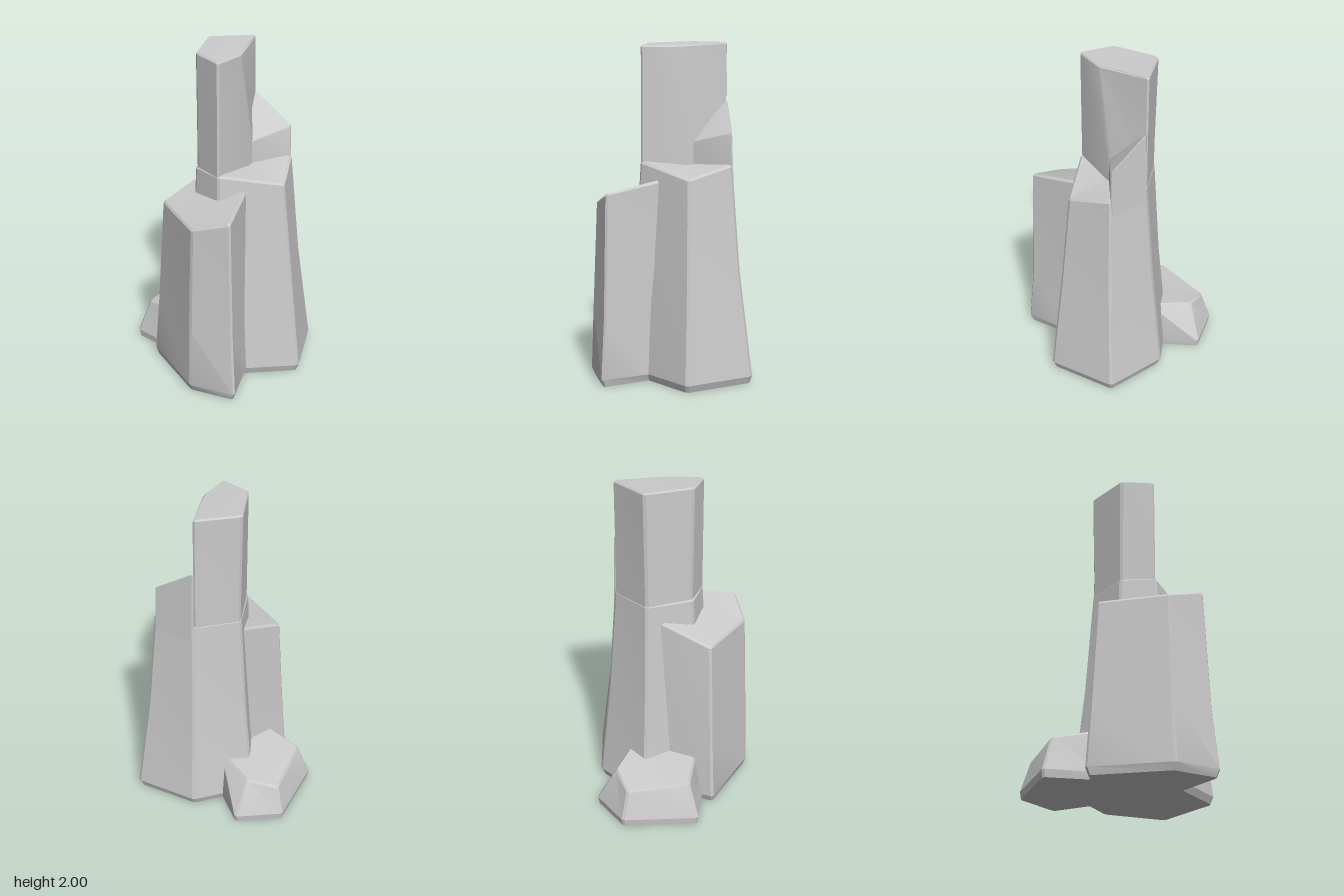
import * as THREE from 'three';
import { toCreasedNormals } from 'three/addons/utils/BufferGeometryUtils.js';

const material = new THREE.MeshStandardMaterial({ color: 0xcccccc });

// Middle of a ring of points
function centre(ring) {
  const c = new THREE.Vector3();
  ring.forEach(p => c.add(p));
  return c.divideScalar(ring.length);
}

// Move a ring sideways towards its middle, and up or down
function inset(ring, amount, dy) {
  const c = centre(ring);
  return ring.map(p => {
    const d = new THREE.Vector3(c.x - p.x, 0, c.z - p.z).normalize().multiplyScalar(amount);
    return p.clone().add(d).setY(p.y + dy);
  });
}

// Cut each corner of a ring so the upright edges get a narrow bevel
function chamfer(ring, size) {
  const n = ring.length;
  return ring.flatMap((p, i) => [ring[(i + n - 1) % n], ring[(i + 1) % n]].map(q =>
    p.clone().lerp(q, size / p.distanceTo(q))));
}

// Closed stone column through rings of [x, y, z] corners, listed back, right, front, left
function column(name, sections, { bevel = 0.014, foot = 0.02 } = {}) {
  let rings = sections.map(s => s.map(p => new THREE.Vector3(...p)));
  const top = rings.pop();
  rings.push(inset(top, -bevel, -bevel), top);
  if (foot) {
    const base = rings[0];
    rings = [inset(base, foot, 0), inset(base, 0, 0.045), ...rings.slice(1)];
  }
  rings = rings.map(r => chamfer(r, 0.012));

  const pos = [];
  const tri = (...pts) => pts.forEach(p => pos.push(p.x, p.y, p.z));
  const n = rings[0].length;
  const low = rings[0], high = rings[rings.length - 1];
  const cLow = centre(low), cHigh = centre(high);
  for (let j = 0; j < n; j++) {
    const k = (j + 1) % n;
    for (let i = 0; i < rings.length - 1; i++) {
      const a = rings[i], b = rings[i + 1];
      tri(a[j], b[j], b[k]);
      tri(a[j], b[k], a[k]);
    }
    tri(cLow, low[j], low[k]);
    tri(cHigh, high[k], high[j]);
  }
  const geo = new THREE.BufferGeometry();
  geo.setAttribute('position', new THREE.Float32BufferAttribute(pos, 3));
  const mesh = new THREE.Mesh(toCreasedNormals(geo, 0.35), material);
  mesh.name = name;
  return mesh;
}

// Level ring from [x, z] corners
const level = (y, pts) => pts.map(([x, z]) => [x, y, z]);

export function createModel() {
  const group = new THREE.Group();
  group.name = 'rockColumns';

  // Wide six-sided lower half of the main pillar, with a sloping front ledge
  group.add(column('mainColumnBase', [
    level(0, [[-0.10, -0.30], [0.285, -0.225], [0.51, 0.105], [0.26, 0.46], [-0.23, 0.31], [-0.31, 0.02]]),
    level(0.67, [[-0.075, -0.24], [0.245, -0.17], [0.42, 0.1], [0.23, 0.385], [-0.2, 0.27], [-0.265, 0.025]]),
    [[-0.05, 1.3, -0.19], [0.21, 1.3, -0.12], [0.35, 1.3, 0.09], [0.195, 1.23, 0.315], [-0.165, 1.305, 0.225], [-0.22, 1.3, 0.03]],
  ]));

  // Tall upper shaft
  group.add(column('mainColumnShaft', [
    level(1.15, [[-0.055, -0.20], [0.22, -0.128], [0.11, 0.085], [-0.175, 0.232], [-0.225, 0.03]]),
    level(1.43, [[-0.052, -0.20], [0.22, -0.128], [0.105, 0.085], [-0.175, 0.232], [-0.225, 0.03]]),
    [[-0.05, 2, -0.205], [0.212, 2, -0.128], [0.005, 1.985, 0.125], [-0.168, 1.985, 0.222], [-0.217, 1.995, 0.03]],
  ], { foot: 0, bevel: 0.01 }));

  // Broken shoulder beside the shaft
  group.add(column('shoulder', [
    level(1.2, [[0.225, -0.135], [0.372, 0.092], [0.05, 0.085]]),
    [[0.218, 1.655, -0.125], [0.357, 1.485, 0.09], [0.05, 1.41, 0.08]],
  ], { foot: 0, bevel: 0.004 }));

  // Shorter column at the front right corner, its top tilted outwards
  group.add(column('sideColumn', [
    level(0, [[-0.08, -0.16], [-0.01, 0.31], [-0.23, 0.60], [-0.435, 0.395], [-0.475, -0.10]]),
    level(0.4, [[-0.08, -0.15], [-0.02, 0.295], [-0.23, 0.565], [-0.425, 0.385], [-0.45, -0.085]]),
    [[-0.09, 1.19, -0.13], [-0.03, 1.205, 0.27], [-0.23, 1.145, 0.52], [-0.39, 1.07, 0.36], [-0.405, 1.07, -0.05]],
  ]));

  // Low stump at the back
  group.add(column('backStump', [
    level(0, [[-0.14, -0.60], [0.13, -0.485], [0.07, -0.1], [-0.36, -0.02], [-0.51, -0.33]]),
    [[-0.14, 0.225, -0.53], [0.01, 0.27, -0.435], [0.05, 0.31, -0.18], [-0.31, 0.31, -0.05], [-0.42, 0.26, -0.31]],
  ], { foot: 0.008 }));

  return group;
}
